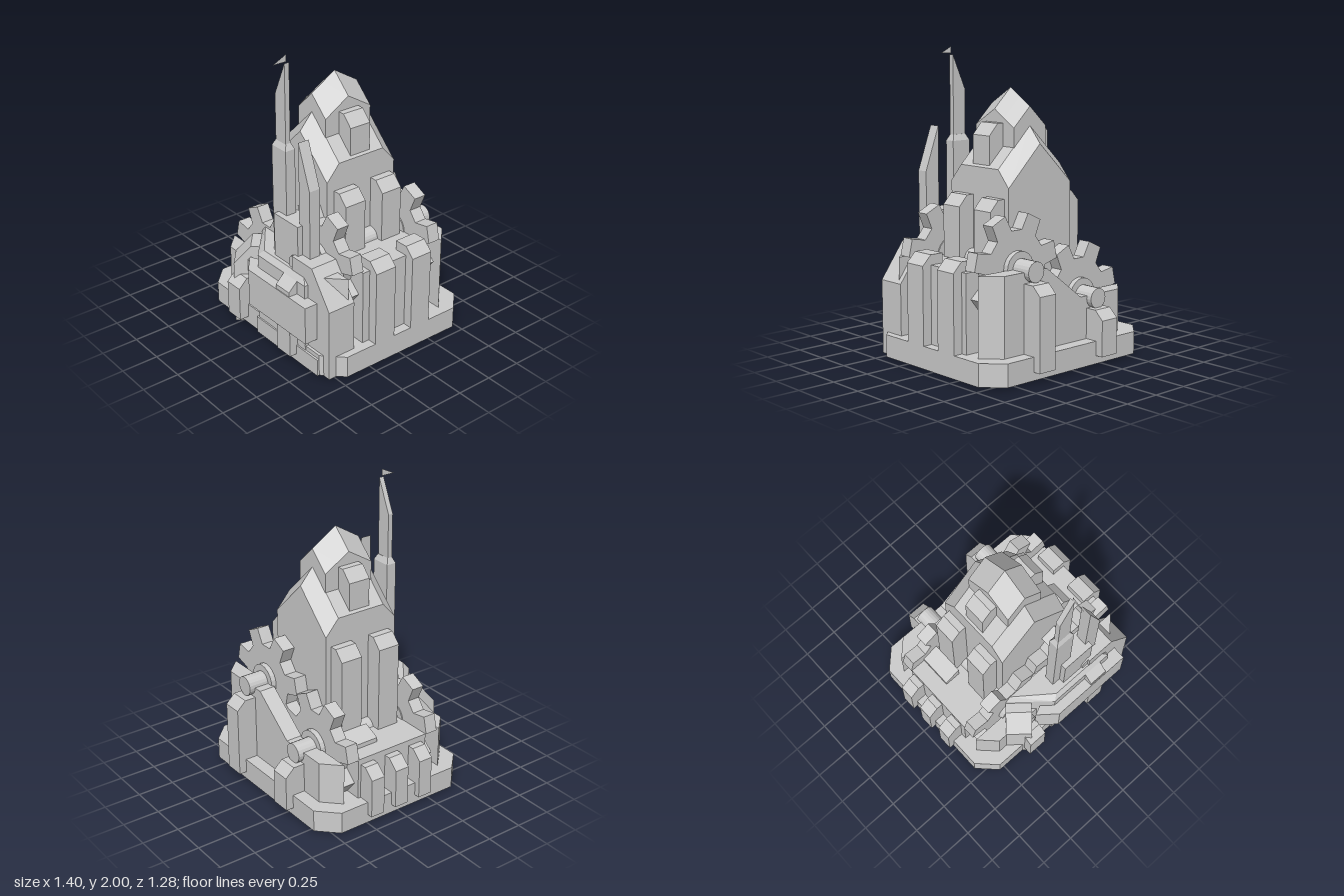
import * as THREE from 'three';

export function createModel() {
  const root = new THREE.Group();
  const mat = new THREE.MeshStandardMaterial({ color: 0xcccccc, flatShading: true });
  const thin = new THREE.MeshStandardMaterial({ color: 0xcccccc, flatShading: true, side: THREE.DoubleSide });

  const add = (name, geo, material = mat) => {
    const m = new THREE.Mesh(geo, material);
    m.name = name;
    root.add(m);
    return m;
  };
  const solid = (pts, depth) => new THREE.ExtrudeGeometry(
    new THREE.Shape(pts.map(p => new THREE.Vector2(...p))), { depth, bevelEnabled: false });
  // Front outline (x, y) pushed from z0 to z1
  const alongZ = (name, pts, z0, z1) => add(name, solid(pts, z1 - z0).translate(0, 0, z0));
  // Side outline (z, y) pushed from x0 to x1
  const alongX = (name, pts, x0, x1) => add(name, solid(pts, x1 - x0).rotateY(-Math.PI / 2).translate(x1, 0, 0));
  // Plan outline (x, z) raised from y0 to y1
  const alongY = (name, pts, y0, y1) => add(name, solid(pts, y1 - y0).rotateX(Math.PI / 2).translate(0, y1, 0));
  const box = (name, x0, x1, y0, y1, z0, z1) =>
    add(name, new THREE.BoxGeometry(x1 - x0, y1 - y0, z1 - z0).translate((x0 + x1) / 2, (y0 + y1) / 2, (z0 + z1) / 2));
  // Box whose top corners are cut at 45 degrees in plan
  const octagon = (x0, x1, z0, z1, c) => [[x0 + c, z0], [x1 - c, z0], [x1, z0 + c], [x1, z1 - c],
    [x1 - c, z1], [x0 + c, z1], [x0, z1 - c], [x0, z0 + c]];

  alongY('basePlate', octagon(-0.665, 0.7, -0.585, 0.57, 0.125), 0.012, 0.16);

  // Outer walls: low on one side, ramped up to high on the other, chamfered ends
  for (const s of [-1, 1]) {
    const g = solid([[-0.59, 0.16], [0.635, 0.16], [0.635, 0.67], [0.17, 0.67], [-0.13, 0.44], [-0.59, 0.44]], 0.112)
      .translate(0, 0, s > 0 ? 0.385 : -0.505 + 0.008);
    const p = g.attributes.position;
    for (let i = 0; i < p.count; i++) {
      if (p.getZ(i) * s < 0.45) continue;
      const x = p.getX(i);
      if (x < -0.5) p.setX(i, x + 0.112);
      if (x > 0.6) p.setX(i, x - 0.112);
    }
    g.computeVertexNormals();
    add('outerWall', g);
  }
  // Core block between the gear slots
  alongZ('coreBlock', [[-0.59, 0.16], [0.635, 0.16], [0.635, 0.67], [0.17, 0.67], [-0.13, 0.44], [-0.59, 0.44]], -0.275, 0.27);
  alongZ('sideLedge', [[-0.48, 0.42], [-0.365, 0.42], [-0.365, 0.52], [-0.48, 0.47]], -0.275, -0.04);

  // Columns with sloped outer tops
  for (const [z0, z1] of [[-0.235, -0.08], [0.06, 0.217]]) {
    alongZ('upperLeftColumn', [[-0.365, 0.42], [-0.24, 0.42], [-0.24, 1.08], [-0.3, 1.08], [-0.365, 1.01]], z0, z1);
    alongZ('upperRightColumn', [[0.27, 0.6], [0.4, 0.6], [0.4, 1.01], [0.335, 1.08], [0.27, 1.08]], z0, z1);
    alongZ('lowerRightColumn', [[0.54, 0.07], [0.7, 0.07], [0.7, 0.67], [0.635, 0.735], [0.54, 0.735]], z0, z1);
  }
  for (const z of [-0.205, -0.013, 0.18])
    alongZ('sideButtress', [[-0.705, 0.07], [-0.58, 0.07], [-0.58, 0.4], [-0.635, 0.4], [-0.705, 0.335]], z - 0.05, z + 0.05);

  // Gabled spires: a grid box whose top height follows ridge and end slopes
  const spire = (name, hx, z, y0, height) => {
    const g = new THREE.BoxGeometry(hx * 2, 1, z * 2, 2, 1, 4);
    const p = g.attributes.position;
    for (let i = 0; i < p.count; i++)
      p.setY(i, p.getY(i) > 0 ? height(Math.abs(p.getX(i)) / hx, Math.abs(p.getZ(i))) : y0);
    g.translate(0.017, 0, 0);
    g.computeVertexNormals();
    return add(name, g);
  };
  spire('mainSpire', 0.267, 0.273, 0.16, (u, z) => 1.52 - 0.26 * u - (z > 0.2 ? 0.11 : 0))
    .geometry.attributes.position.needsUpdate = true;
  {
    // Move the inner rows outward so only the ends slope down
    const p = root.getObjectByName('mainSpire').geometry.attributes.position;
    for (let i = 0; i < p.count; i++)
      if (Math.abs(Math.abs(p.getZ(i)) - 0.1365) < 0.01) p.setZ(i, Math.sign(p.getZ(i)) * 0.177);
  }
  spire('topSpire', 0.137, 0.18, 1.1, (u, z) => 1.75 - 0.13 * u - 0.11 * z / 0.18);
  alongZ('leftDormer', [[-0.235, 1.1], [-0.1, 1.1], [-0.1, 1.535], [-0.165, 1.535], [-0.235, 1.46]], -0.08, 0.075);
  alongZ('rightDormer', [[0.13, 1.1], [0.27, 1.1], [0.27, 1.46], [0.2, 1.535], [0.13, 1.535]], -0.08, 0.075);

  // Gears, shafts and collars
  const teeth = 7, gearPts = [];
  for (let i = 0; i < teeth; i++) {
    const a = -Math.PI / 2 + i * Math.PI * 2 / teeth;
    for (const [d, r] of [[-0.27, 0.24], [-0.17, 0.345], [0.17, 0.345], [0.27, 0.24]])
      gearPts.push([Math.cos(a + d) * r, Math.sin(a + d) * r]);
  }
  for (const [x, y] of [[-0.25, 0.42], [0.295, 0.668]]) {
    add('shaft', new THREE.CylinderGeometry(0.066, 0.066, 1.07, 20).rotateX(Math.PI / 2).translate(x, y, 0));
    for (const s of [-1, 1]) {
      add('gear', solid(gearPts, 0.088).translate(x, y, s * 0.316 - 0.044));
      add('collar', new THREE.CylinderGeometry(0.11, 0.11, 0.13, 20).rotateX(Math.PI / 2).translate(x, y, s * 0.33));
      // Pillar under each shaft end
      const top = x > 0 ? 0.6 : 0.36;
      const pts = [[0.46, 0.065], [0.637, 0.065], [0.637, top - 0.06], [0.575, top], [0.46, top]];
      alongX('shaftPillar', pts.map(([z, h]) => [z * s, h]), x - 0.067, x + 0.067);
    }
  }

  // Front bastion with a bevelled roof edge
  const plan = [[-0.3, 0.355], [-0.05, 0.575], [0.44, 0.575], [0.44, 0.355]];
  alongY('frontBastion', plan, 0.01, 0.6);
  const roof = solid(plan, 0.04).rotateX(Math.PI / 2).translate(0, 0.64, 0);
  const rp = roof.attributes.position;
  for (let i = 0; i < rp.count; i++)
    if (rp.getY(i) > 0.62) {
      if (rp.getZ(i) > 0.5) rp.setZ(i, 0.548);
      rp.setX(i, rp.getX(i) > 0.2 ? 0.4 : rp.getX(i) + 0.035);
    }
  roof.computeVertexNormals();
  add('bastionRoof', roof);
  alongY('frontPanel', [[-0.19, 0.54], [-0.065, 0.642], [0.53, 0.642], [0.53, 0.5], [-0.1, 0.5]], 0.25, 0.51);
  box('frontPlinth', -0.065, 0.575, 0.012, 0.13, 0.45, 0.585);

  // Diagonal buttress on the bastion corner
  const diagonal = alongX('diagonalButtress',
    [[-0.2, 0], [0.06, 0], [0.06, 0.44], [-0.055, 0.57], [-0.2, 0.57]], -0.087, 0.087);
  diagonal.position.set(-0.31, 0, 0.505);
  diagonal.rotation.y = -0.7;

  // Corner tower, inner box and blade
  alongZ('cornerTower', [[0.28, 0.01], [0.65, 0.01], [0.65, 0.5], [0.48, 0.735], [0.28, 0.735]], 0.352, 0.55);
  box('towerBlock', 0.07, 0.31, 0.5, 0.94, 0.385, 0.525);
  alongZ('blade', [[0.28, 0.6], [0.385, 0.6], [0.385, 1.2], [0.28, 1.49]], 0.41, 0.488);

  // Flag mast: square shaft, tapered shoulder, slanted tip and pennant
  box('mastBase', 0.01, 0.15, 0.5, 1.38, 0.415, 0.487);
  const shoulder = new THREE.BoxGeometry(0.14, 0.04, 0.072);
  const sp = shoulder.attributes.position;
  for (let i = 0; i < sp.count; i++)
    if (sp.getY(i) > 0) sp.setXYZ(i, sp.getX(i) * 0.72, sp.getY(i), sp.getZ(i) * 0.5);
  shoulder.computeVertexNormals();
  add('mastShoulder', shoulder.translate(0.08, 1.4, 0.451));
  alongZ('mastTip', [[0.03, 1.4], [0.13, 1.4], [0.13, 1.945], [0.03, 1.72]], 0.435, 0.47);
  const flag = new THREE.ShapeGeometry(new THREE.Shape([[0.455, 1.953], [0.555, 1.953], [0.455, 2]].map(p => new THREE.Vector2(...p))));
  add('pennant', flag.rotateY(-Math.PI / 2).translate(0.128, 0, 0), thin);

  return root;
}
